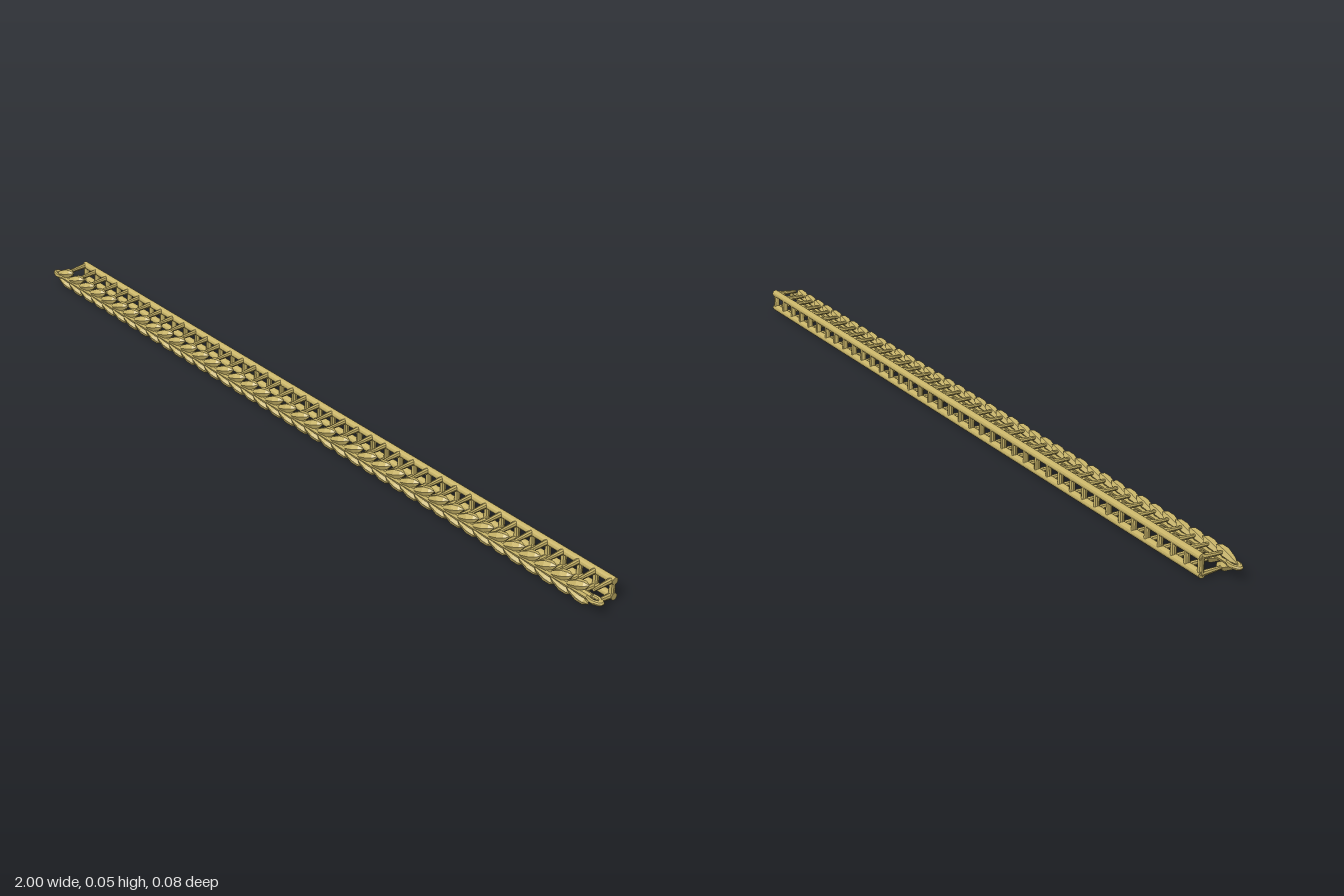
import * as THREE from 'three';

const material = new THREE.MeshStandardMaterial({ color: 0xc8b468, flatShading: true });
const UP = new THREE.Vector3(0, 1, 0);
const COUNT = 40, PITCH = 0.048, START = -0.943;
const MID = 0.028, RAIL_Z = -0.032, CHAIN_Z = 0.028;

function add(group, name, geometry) {
  const mesh = new THREE.Mesh(geometry, material);
  mesh.name = name;
  group.add(mesh);
  return mesh;
}

// Places a y-aligned geometry so that it runs from a to b
function align(mesh, a, b) {
  const dir = b.clone().sub(a);
  mesh.position.copy(a).addScaledVector(dir, 0.5);
  mesh.quaternion.setFromUnitVectors(UP, dir.normalize());
}

// Tapered bar from a (radius ra) to b (radius rb)
function bar(group, name, a, b, ra, rb = ra, sides = 10) {
  const start = new THREE.Vector3(...a), end = new THREE.Vector3(...b);
  align(add(group, name, new THREE.CylinderGeometry(rb, ra, start.distanceTo(end), sides)), start, end);
}

// Faceted leaf running from a to b
function leaf(group, name, a, b, radius) {
  const start = new THREE.Vector3(...a), end = new THREE.Vector3(...b);
  const h = start.distanceTo(end) / 2;
  const profile = [[0, -h], [radius * 0.65, -h * 0.55], [radius, 0.15 * h], [radius * 0.75, h * 0.65], [0, h]]
    .map(([r, y]) => new THREE.Vector2(r, y));
  align(add(group, name, new THREE.LatheGeometry(profile, 6)), start, end);
}

// Flat oval eye at a chain end
function endLoop(group, name, x) {
  const loop = add(group, name, new THREE.TorusGeometry(0.009, 0.0045, 8, 20));
  loop.rotation.x = Math.PI / 2;
  loop.scale.set(1.9, 0.95, 1.3);
  loop.position.set(x, MID, CHAIN_Z);
}

export function createModel() {
  const model = new THREE.Group();
  model.name = 'braidedRail';

  // Two back rails with rounded ends
  const rails = new THREE.Group();
  rails.name = 'rails';
  for (const y of [0.009, 0.047]) {
    bar(rails, 'rail', [-0.948, y, RAIL_Z], [0.972, y, RAIL_Z], 0.0085, 0.0085, 12);
  }

  // Uprights between the rails and tapered struts to the chain
  const struts = new THREE.Group();
  struts.name = 'struts';
  for (let i = 0; i <= COUNT; i++) {
    const x = START + i * PITCH * 0.9935;
    bar(struts, 'upright', [x, 0.009, RAIL_Z], [x, 0.047, RAIL_Z], 0.007);
    for (const s of [-1, 1]) {
      bar(struts, 'strut', [x, MID + s * 0.019, RAIL_Z], [x, MID + s * 0.0165, CHAIN_Z - 0.005], 0.0072, 0.004, 8);
    }
  }

  // Chevron links of mirrored leaves, each tucked into the next
  const chain = new THREE.Group();
  chain.name = 'braidedChain';
  for (let i = 0; i < COUNT; i++) {
    const x = -0.982 + i * PITCH;
    for (const s of [-1, 1]) {
      leaf(chain, 'leaf', [x, MID + s * 0.001, CHAIN_Z + 0.004], [x + 0.066, MID + s * 0.023, CHAIN_Z - 0.003], 0.0125);
    }
  }
  bar(chain, 'core', [-0.965, MID, CHAIN_Z], [0.965, MID, CHAIN_Z], 0.009, 0.009, 8);
  endLoop(chain, 'leftEndLoop', 0.974);
  endLoop(chain, 'rightEndLoop', -0.974);

  model.add(rails, struts, chain);
  return model;
}
